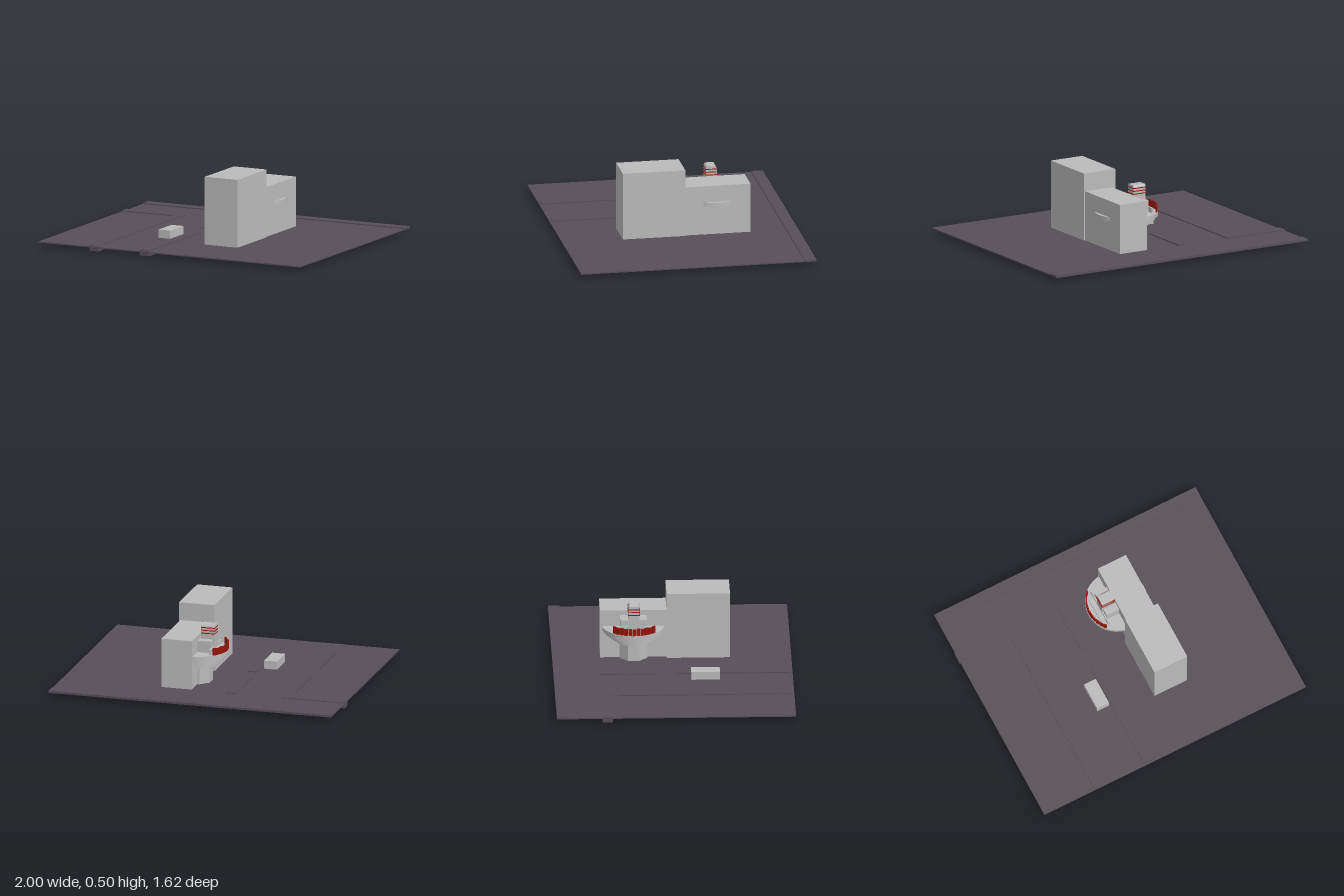
import * as THREE from 'three';

const paint = (name, color) => {
  const m = new THREE.MeshStandardMaterial({ color });
  m.name = name;
  return m;
};

export function createModel() {
  const model = new THREE.Group();
  model.name = 'streetCorner';
  const concrete = paint('lightGrey', 0xbbbbbb);
  const asphalt = paint('darkGrey', 0x574f57);
  const red = paint('red', 0x9a1508);

  const add = (name, geo, mat, parent = model) => {
    const mesh = new THREE.Mesh(geo, mat);
    mesh.name = name;
    parent.add(mesh);
    return mesh;
  };
  // Box given by its limits on each axis
  const box = (name, mat, x0, x1, y0, y1, z0, z1, parent) => {
    const mesh = add(name, new THREE.BoxGeometry(x1 - x0, y1 - y0, z1 - z0), mat, parent);
    mesh.position.set((x0 + x1) / 2, (y0 + y1) / 2, (z0 + z1) / 2);
    return mesh;
  };

  // Ground and kerbs
  box('ground', asphalt, -0.995, 1, 0.03, 0.038, -0.81, 0.81);
  box('backKerb', asphalt, -0.995, 1, 0.032, 0.045, -0.81, -0.73);
  box('frontKerb', asphalt, -0.23, -0.16, 0.005, 0.044, 0.02, 0.795);
  box('middleKerb', asphalt, -0.23, -0.16, 0.005, 0.044, -0.5, -0.12);
  const corner = new THREE.Shape([
    [-1, -0.5], [-0.545, -0.5], [-0.545, 0.795], [-0.61, 0.795], [-0.61, -0.43], [-1, -0.43],
  ].map(([x, z]) => new THREE.Vector2(x, -z)));
  const cornerGeo = new THREE.ExtrudeGeometry(corner, { depth: 0.039, bevelEnabled: false });
  cornerGeo.rotateX(-Math.PI / 2);
  add('cornerKerb', cornerGeo, asphalt).position.y = 0.005;

  // Buildings
  box('tallBuilding', concrete, 0.06, 0.31, 0, 0.505, -0.035, 0.395);
  box('lowBuilding', concrete, 0.085, 0.3, 0.032, 0.38, -0.485, -0.035);
  box('kiosk', concrete, -0.335, -0.245, 0.035, 0.094, 0.12, 0.315);

  // Round entrance: faceted column carrying a stepped canopy
  const entrance = new THREE.Group();
  entrance.name = 'entrance';
  entrance.position.set(0.11, 0, -0.258);
  model.add(entrance);
  const columnGeo = new THREE.CylinderGeometry(0.103, 0.103, 0.13, 8);
  columnGeo.rotateY(Math.PI / 8);
  const flat = columnGeo.toNonIndexed();
  flat.computeVertexNormals();
  add('column', flat, concrete, entrance).position.y = 0.1;
  [[0.125, 0.158, 0.178], [0.15, 0.178, 0.197], [0.172, 0.197, 0.215],
    [0.195, 0.215, 0.238], [0.213, 0.238, 0.265]].forEach(([r, y0, y1], i) => {
    const step = add('canopyStep' + (i + 1), new THREE.CylinderGeometry(r, r, y1 - y0, 64), concrete, entrance);
    step.position.y = (y0 + y1) / 2;
  });

  // Row of red blocks around the canopy edge
  const count = 11;
  for (let i = 0; i < count; i++) {
    const a = (i / (count - 1) - 0.5) * 1.4;
    const h = i % 2 ? 0.046 : 0.05;
    const block = add('edgeBlock', new THREE.BoxGeometry(0.01, h, 0.024), red, entrance);
    block.position.set(-0.205 * Math.cos(a), 0.265 + h / 2, 0.205 * Math.sin(a));
    block.rotation.y = a;
  }

  // Stepped pylon above the canopy
  box('pylonBase', concrete, -0.055, 0.09, 0.262, 0.28, -0.35, -0.17);
  box('pylonShoulder', concrete, -0.01, 0.09, 0.28, 0.345, -0.35, -0.17);
  box('pylonFin', concrete, -0.02, -0.008, 0.262, 0.3, -0.39, -0.13);
  const pylon = new THREE.Shape([
    [-0.038, 0.265], [0.038, 0.265], [0.038, 0.43], [0.03, 0.445], [-0.03, 0.445], [-0.038, 0.43],
  ].map(([x, y]) => new THREE.Vector2(x, y)));
  add('pylon', new THREE.ExtrudeGeometry(pylon, { depth: 0.095, bevelEnabled: false }).rotateY(Math.PI / 2), concrete)
    .position.set(-0.02, 0, -0.258);
  [0.385, 0.405, 0.425].forEach((y) =>
    box('pylonStripe', red, -0.022, 0.077, y - 0.003, y + 0.003, -0.298, -0.218));
  return model;
}
